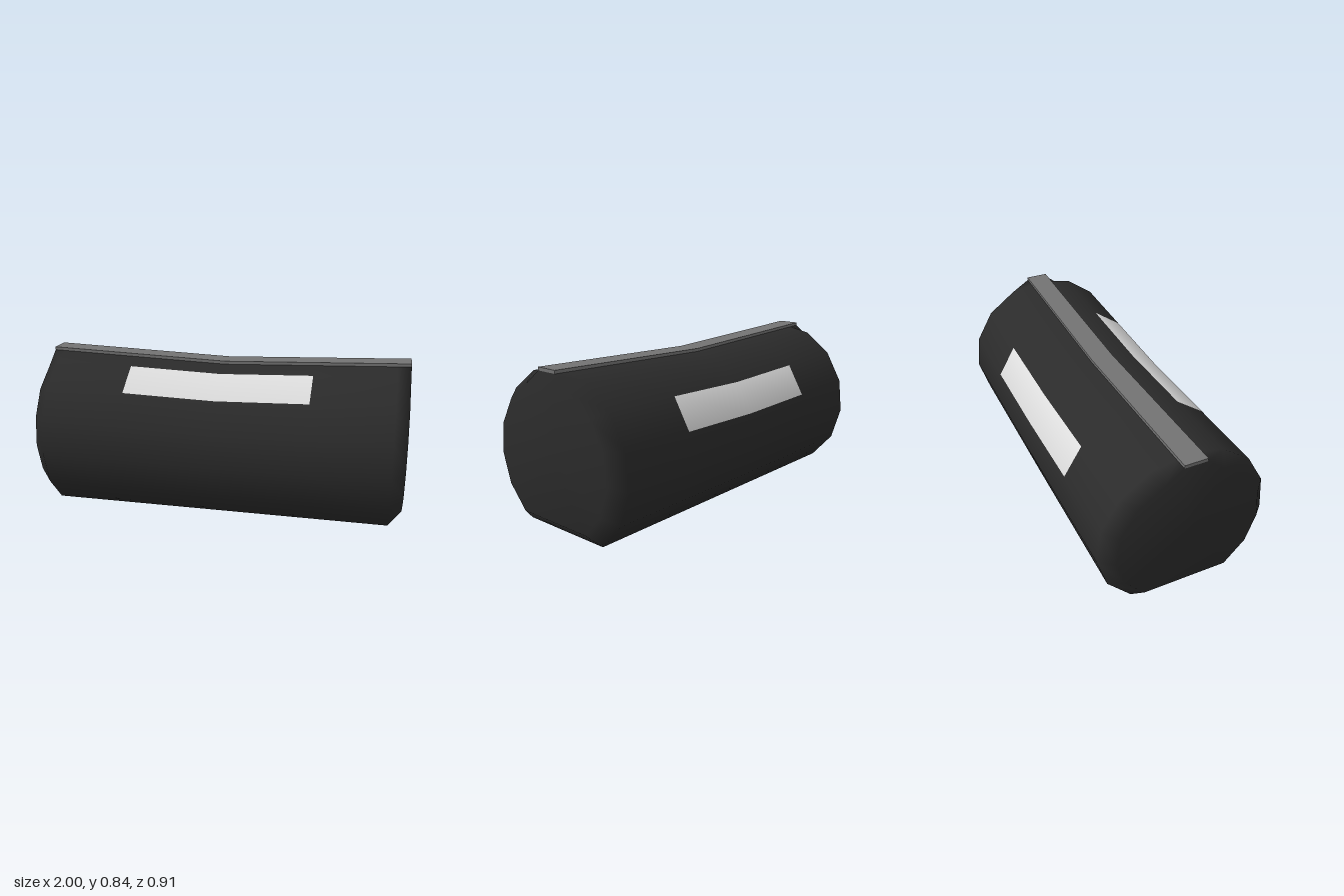
import * as THREE from 'three';

const material = (name, color) => {
  const m = new THREE.MeshStandardMaterial({ color });
  m.name = name;
  return m;
};

// The upper side dips towards the middle of the length
const dip = (x) => 0.957 + 0.043 * Math.abs(x);

// Half of the cross-section, from the top ridge down to the base: [z, y]
const half = [[0.06, 0.82], [0.188, 0.795], [0.342, 0.682], [0.437, 0.517], [0.457, 0.33], [0.4, 0.145], [0.27, 0]];
const ring = [...half, ...half.map(([z, y]) => [-z, y]).reverse()];
const stations = [-1, -0.93, -0.5, 0, 0.5, 0.93, 1];

// Smooth, faceted barrel with chamfered ends and a light panel on each side
function createBody(materials) {
  const n = ring.length;
  const positions = [];
  for (const x of stations) {
    const end = Math.abs(x) === 1;
    for (const [z, y] of ring) {
      const inset = end && y < 0.82; // the ridge runs on to the very end
      const k = inset ? 0.846 : 1;
      positions.push(x, (inset ? 0.455 + (y - 0.455) * k : y) * dip(x), z * k);
    }
  }
  const centres = positions.length / 3;
  positions.push(-1, 0.42, 0, 1, 0.42, 0);

  const shell = [];
  const panels = [];
  for (let j = 0; j < n; j++) {
    const next = (j + 1) % n;
    for (let i = 0; i < stations.length - 1; i++) {
      const a = i * n + j, b = i * n + next, c = b + n, d = a + n;
      const middle = i === 2 || i === 3;
      // front panel on the second facet, back panel one facet lower
      const isPanel = middle && (j === 1 || j === n - 4);
      (isPanel ? panels : shell).push(a, b, c, a, c, d);
    }
    // end caps
    const last = (stations.length - 1) * n;
    shell.push(centres, next, j, centres + 1, last + j, last + next);
  }

  const geometry = new THREE.BufferGeometry();
  geometry.setAttribute('position', new THREE.Float32BufferAttribute(positions, 3));
  geometry.setIndex([...shell, ...panels]);
  geometry.addGroup(0, shell.length, 0);
  geometry.addGroup(shell.length, panels.length, 1);
  geometry.computeVertexNormals();
  const body = new THREE.Mesh(geometry, materials);
  body.name = 'bodyWithSidePanels';
  return body;
}

// Thin strip that follows the dip along the top
function createStrip(mat) {
  const geometry = new THREE.BoxGeometry(2, 0.017, 0.122, 2, 1, 1);
  const p = geometry.attributes.position;
  for (let i = 0; i < p.count; i++) {
    p.setY(i, p.getY(i) + 0.0085 + 0.82 * dip(p.getX(i)));
  }
  geometry.computeVertexNormals();
  const strip = new THREE.Mesh(geometry, mat);
  strip.name = 'topStrip';
  return strip;
}

export function createModel() {
  const black = material('black', 0x2b2b2b);
  const white = material('white', 0xdddddd);
  const grey = material('grey', 0x737373);

  const model = new THREE.Group();
  model.name = 'barrelWithTopStrip';
  model.add(createBody([black, white]), createStrip(grey));
  return model;
}
